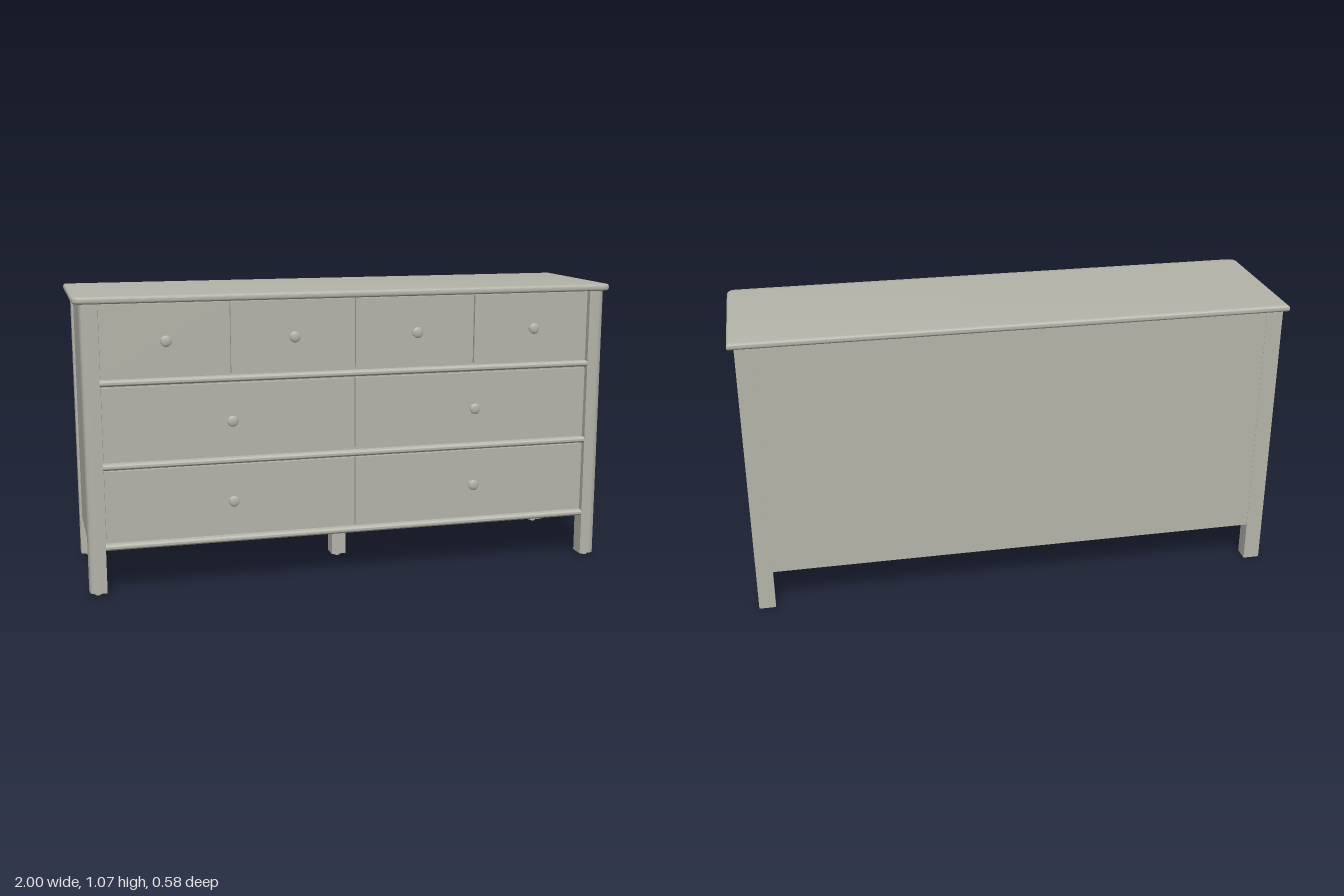
import * as THREE from 'three';
import { toCreasedNormals } from 'three/addons/utils/BufferGeometryUtils.js';

export function createModel() {
  const model = new THREE.Group();
  model.name = 'dresser';
  const paint = new THREE.MeshStandardMaterial({ color: 0xb5b4aa });
  paint.name = 'warm grey paint';

  const add = (name, geometry, x = 0, y = 0, z = 0) => {
    const mesh = new THREE.Mesh(geometry, paint);
    mesh.name = name;
    mesh.position.set(x, y, z);
    model.add(mesh);
    return mesh;
  };
  // Box given by its limits on each axis
  const box = (name, x0, x1, y0, y1, z0, z1) =>
    add(name, new THREE.BoxGeometry(x1 - x0, y1 - y0, z1 - z0),
      (x0 + x1) / 2, (y0 + y1) / 2, (z0 + z1) / 2);
  // Floor-plan outline (x, -z) raised along y
  const raise = (shape, options) => {
    const g = new THREE.ExtrudeGeometry(shape, { curveSegments: 8, bevelEnabled: false, ...options });
    g.rotateX(-Math.PI / 2);
    return toCreasedNormals(g, 0.6);
  };

  // Top board: rounded edge, rounded front corners, square back corners
  const bevel = 0.011, tx = 1 - bevel, front = -(0.279 - bevel), back = 0.291 - bevel, tr = 0.025;
  const top = new THREE.Shape();
  top.moveTo(-tx, back);
  top.lineTo(-tx, front + tr);
  top.quadraticCurveTo(-tx, front, -tx + tr, front);
  top.lineTo(tx - tr, front);
  top.quadraticCurveTo(tx, front, tx, front + tr);
  top.lineTo(tx, back);
  top.closePath();
  add('topBoard', raise(top, {
    depth: 0.025 - 2 * bevel, bevelEnabled: true, bevelSize: bevel, bevelThickness: bevel, bevelSegments: 5,
  }), 0, 1.04 + bevel, 0);

  // Legs, feet and side panels
  const x0 = 0.915, x1 = 0.976, r = 0.028;
  const glide = new THREE.CylinderGeometry(0.011, 0.011, 0.012, 16);
  for (const s of [-1, 1]) {
    const post = new THREE.Shape();
    post.moveTo(s * x0, -0.212);
    post.lineTo(s * x0, -0.27);
    post.lineTo(s * (x1 - r), -0.27);
    post.quadraticCurveTo(s * x1, -0.27, s * x1, -0.27 + r);
    post.lineTo(s * x1, -0.212);
    post.closePath();
    add('frontLeg', raise(post, { depth: 1.03 }), 0, 0.011, 0);
    const rear = box('backLeg', x0, x1, 0.011, 1.041, -0.286, -0.228);
    rear.position.x *= s;
    for (const z of [0.241, -0.257]) add('footGlide', glide, s * 0.9455, 0.006, z);
    const side = box('sidePanel', 0.945, 0.968, 0.16, 1.041, -0.23, 0.214);
    side.position.x *= s;
  }
  box('middleLeg', -0.028, 0.028, 0.011, 0.18, -0.028, 0.028);
  add('footGlide', glide, 0, 0.006, 0);

  // Carcass: back, bottom and the frame behind the drawers
  box('backPanel', -x0, x0, 0.162, 1.041, -0.285, -0.265);
  box('bottomPanel', -0.946, 0.946, 0.17, 0.185, -0.268, 0.24);
  box('frontFrame', -0.92, 0.92, 0.168, 1.041, 0.225, 0.243);

  // Rounded rails between the drawer rows and under the lowest
  const bead = new THREE.Shape();
  bead.moveTo(-0.03, -0.011);
  bead.lineTo(0, -0.011);
  bead.absarc(0, 0, 0.011, -Math.PI / 2, Math.PI / 2, false);
  bead.lineTo(-0.03, 0.011);
  bead.closePath();
  const railGeo = new THREE.ExtrudeGeometry(bead, { depth: 1.834, bevelEnabled: false, curveSegments: 10 });
  railGeo.translate(0, 0, -0.917);
  railGeo.rotateY(-Math.PI / 2);
  const railSmooth = toCreasedNormals(railGeo, 0.6);
  for (const y of [0.764, 0.467, 0.176]) add('rail', railSmooth, 0, y, 0.26);

  // Drawer fronts with turned knobs
  const profile = [[0.011, 0], [0.008, 0.006], [0.006, 0.013], [0.007, 0.022], [0.013, 0.025],
    [0.019, 0.028], [0.02, 0.031], [0.018, 0.035], [0.01, 0.0375], [0, 0.038]];
  const knob = new THREE.LatheGeometry(profile.map(([a, b]) => new THREE.Vector2(a, b)), 24);
  knob.rotateX(Math.PI / 2);
  const gap = 0.003;
  const rows = [[4, 0.783, 1.036, 0.908], [2, 0.487, 0.746, 0.615], [2, 0.195, 0.45, 0.322]];
  for (const [count, y0, y1, knobY] of rows) {
    const w = 1.828 / count;
    for (let i = 0; i < count; i++) {
      const left = -0.914 + i * w;
      box('drawerFront', left + gap, left + w - gap, y0, y1, 0.235, 0.256);
      add('knob', knob, left + w / 2, knobY, 0.255);
    }
  }
  return model;
}
